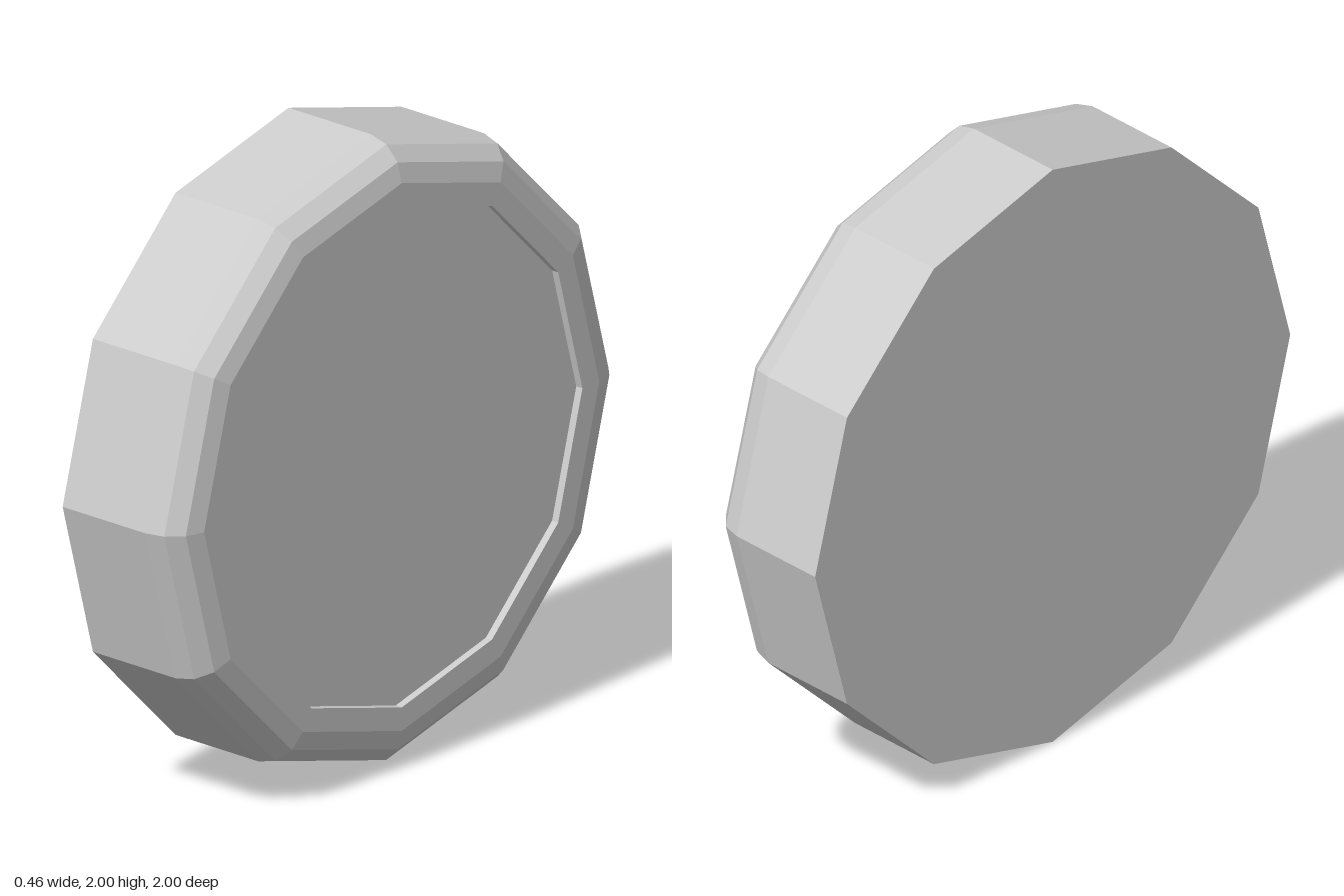
import * as THREE from 'three';

const SIDES = 12;
const HALF = 0.23;      // half the thickness along x
const BEVEL = 0.125;    // rounded rim radius
const FACE_R = 0.8;     // radius of the recessed face
const RECESS = 0.025;

export function createModel() {
  const group = new THREE.Group();
  group.name = 'disc';
  const material = new THREE.MeshStandardMaterial({ color: 0xcccccc, flatShading: true });

  function add(name, geometry) {
    const mesh = new THREE.Mesh(geometry, material);
    mesh.name = name;
    mesh.position.y = 1;
    group.add(mesh);
  }

  // Casing: flat back, straight side, three-step rounded rim, lip and recess wall
  const profile = [new THREE.Vector2(0, -HALF), new THREE.Vector2(1, -HALF)];
  for (let i = 0; i <= 3; i++) {
    const a = (i / 3) * Math.PI / 2;
    profile.push(new THREE.Vector2(
      1 - BEVEL + BEVEL * Math.cos(a),
      HALF - BEVEL + BEVEL * Math.sin(a)
    ));
  }
  profile.push(new THREE.Vector2(FACE_R, HALF), new THREE.Vector2(FACE_R, HALF - RECESS));
  add('casing', new THREE.LatheGeometry(profile, SIDES).rotateZ(-Math.PI / 2));

  // Recessed face panel
  add('facePanel', new THREE.CircleGeometry(FACE_R, SIDES)
    .rotateY(Math.PI / 2)
    .translate(HALF - RECESS, 0, 0));

  return group;
}
